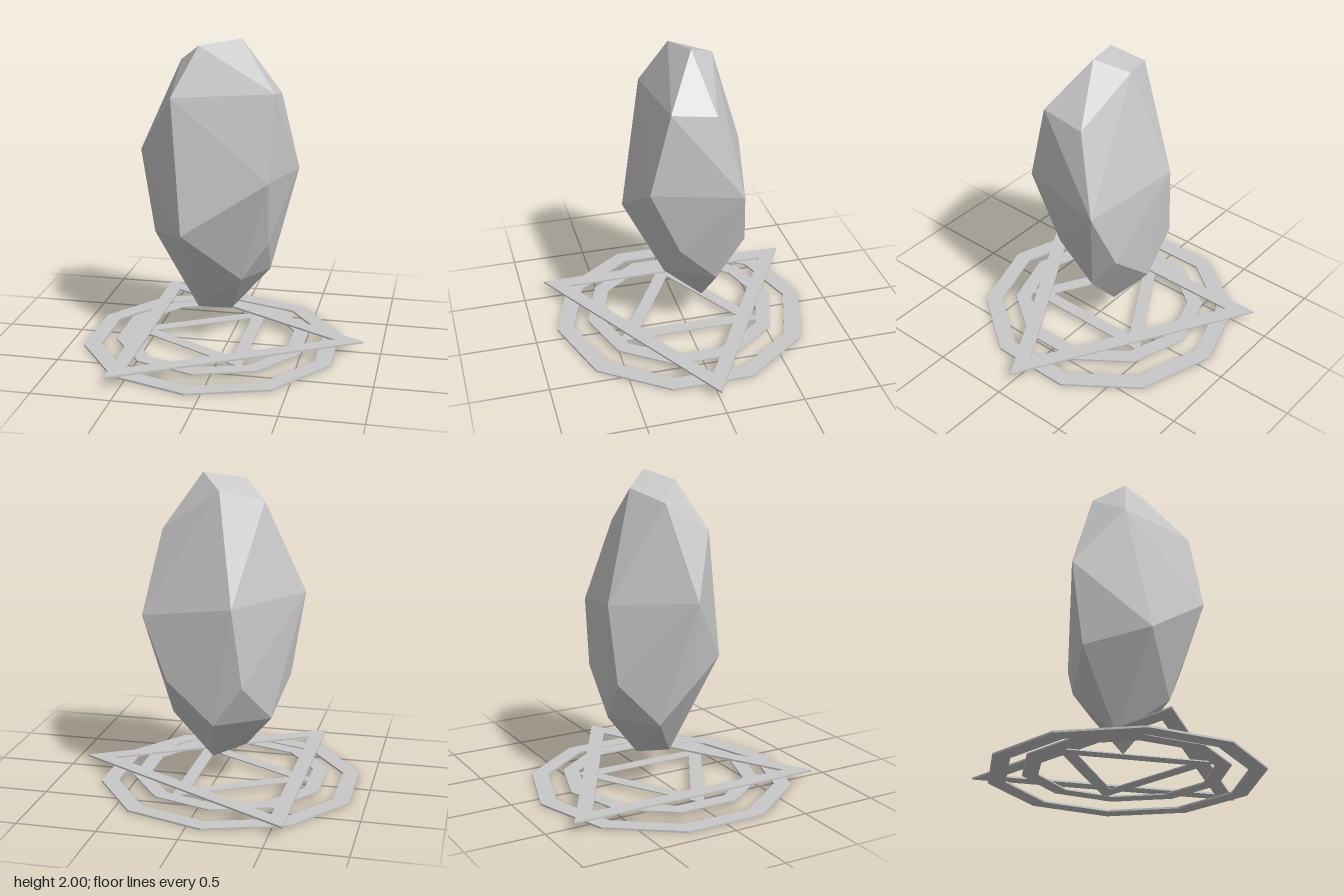
import * as THREE from 'three';
import { ConvexGeometry } from 'three/addons/geometries/ConvexGeometry.js';

const CENTRE_X = -0.095;

// Corners of a regular polygon, first corner at the given angle
function corners(sides, radius, start) {
  return Array.from({ length: sides }, (_, i) => {
    const a = start + (i / sides) * Math.PI * 2;
    return new THREE.Vector2(Math.cos(a) * radius, Math.sin(a) * radius);
  });
}

// Thin flat polygonal frame lying at height y
function frame(name, material, sides, outer, inner, start, y, thickness) {
  const shape = new THREE.Shape(corners(sides, outer, start));
  shape.holes.push(new THREE.Path(corners(sides, inner, start)));
  const geometry = new THREE.ExtrudeGeometry(shape, { depth: thickness, bevelEnabled: false });
  geometry.rotateX(-Math.PI / 2);
  const mesh = new THREE.Mesh(geometry, material);
  mesh.name = name;
  mesh.position.set(CENTRE_X, y, 0);
  return mesh;
}

export function createModel() {
  const group = new THREE.Group();
  group.name = 'floatingCrystal';
  const stone = new THREE.MeshStandardMaterial({ color: 0xc8c8c8 });
  stone.name = 'pale grey stone';

  // Faceted crystal, corners listed from the top down
  const points = [
    [0.085, 2.0, -0.02], [-0.17, 1.96, 0.057], [-0.055, 1.91, -0.19], [-0.317, 1.845, -0.09],
    [0.322, 1.7, 0.164], [-0.315, 1.66, 0.213], [0.32, 1.655, -0.12],
    [-0.563, 1.275, 0], [0.415, 1.135, -0.272], [0.312, 1.175, 0.294], [-0.18, 1.235, -0.411],
    [-0.226, 0.825, 0.357], [-0.475, 0.735, 0.015], [0.28, 0.73, 0.1],
    [0.246, 0.74, -0.33], [-0.24, 0.74, -0.378],
    [0.12, 0.5, 0.165], [0.255, 0.48, -0.145], [-0.385, 0.49, -0.165], [-0.055, 0.475, -0.353],
    [-0.19, 0.24, 0.015], [0, 0.19, -0.12],
  ].map((p) => new THREE.Vector3(...p));
  const crystal = new THREE.Mesh(new ConvexGeometry(points), stone);
  crystal.name = 'crystal';
  group.add(crystal);

  // Stacked frames beneath the crystal
  const tenth = Math.PI / 10;
  group.add(
    frame('outerDecagon', stone, 10, 0.845, 0.735, tenth, 0, 0.012),
    frame('innerDecagon', stone, 10, 0.635, 0.535, tenth, 0.036, 0.009),
    frame('innerTriangle', stone, 3, 0.55, 0.385, Math.PI, 0.037, 0.007),
    frame('outerTriangle', stone, 3, 0.983, 0.795, 0, 0.064, 0.012),
  );
  return group;
}
